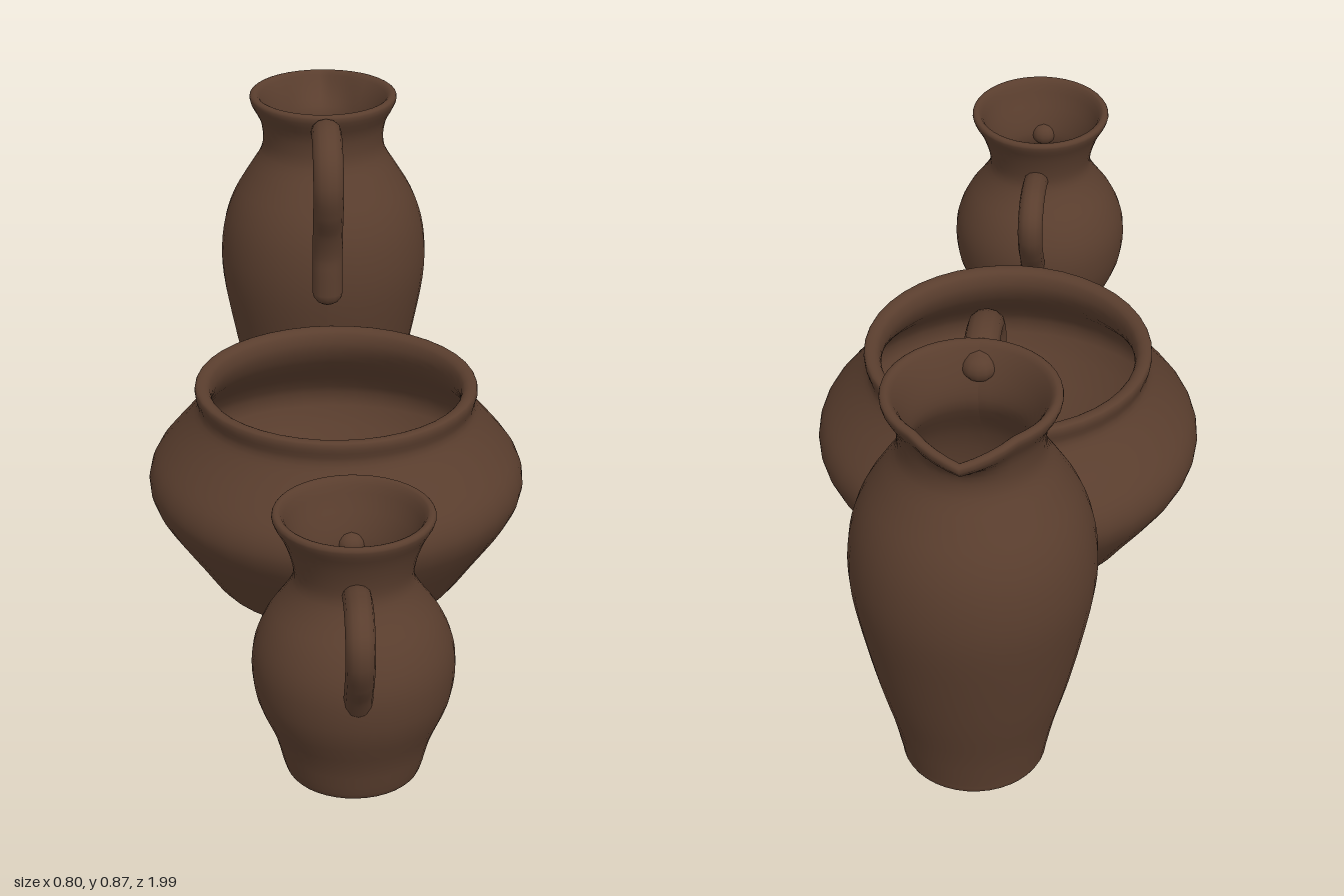
import * as THREE from 'three';

const clay = new THREE.MeshStandardMaterial({ color: 0x5a3e2e });
clay.name = 'brown clay';

// Smooth curve through [a, b] pairs
const curve = (pts, plane) => new THREE.CatmullRomCurve3(
  pts.map(([a, b]) => (plane === 'xy' ? new THREE.Vector3(a, b, 0) : new THREE.Vector3(0, b, a))),
  false, 'centripetal');

// Hollow vessel: profile runs from the underside, up the wall, over the lip and down inside
function vessel(name, profile) {
  const pts = curve(profile, 'xy').getPoints((profile.length - 1) * 3)
    .map((p) => new THREE.Vector2(Math.max(0, p.x), p.y));
  const mesh = new THREE.Mesh(new THREE.LatheGeometry(pts, 40), clay);
  mesh.name = name;
  return mesh;
}

// Strap handle along a path of [distance from axis, height], with rounded ends
function handle(name, path, radius, widen) {
  const group = new THREE.Group();
  group.name = name;
  const c = curve(path, 'zy');
  const strap = new THREE.Mesh(new THREE.TubeGeometry(c, 32, radius, 12), clay);
  strap.name = name + 'Strap';
  group.add(strap);
  for (const t of [0, 1]) {
    const end = new THREE.Mesh(new THREE.SphereGeometry(radius, 12, 8), clay);
    end.position.copy(c.getPoint(t));
    end.name = name + 'End';
    group.add(end);
  }
  group.scale.x = widen;
  return group;
}

function pot(name, z, ...parts) {
  const group = new THREE.Group();
  group.name = name;
  group.position.z = z;
  group.add(...parts);
  return group;
}

export function createModel() {
  const model = new THREE.Group();
  model.name = 'potterySet';

  // Wide bowl in the middle
  model.add(pot('bowl', -0.07, vessel('bowlBody', [
    [0, 0.013], [0.23, 0.013], [0.25, 0.017], [0.265, 0.03], [0.315, 0.1], [0.383, 0.2], [0.398, 0.24],
    [0.397, 0.27], [0.385, 0.3], [0.355, 0.34], [0.31, 0.395], [0.293, 0.425], [0.299, 0.455],
    [0.296, 0.469], [0.28, 0.47], [0.268, 0.46], [0.264, 0.43], [0.285, 0.385], [0.365, 0.29],
    [0.37, 0.24], [0.29, 0.11], [0.25, 0.055], [0.2, 0.045], [0, 0.045]])));

  // Small jar in front with a handle at front and back
  const jar = pot('jar', 0.708, vessel('jarBody', [
    [0, 0.013], [0.11, 0.013], [0.125, 0.017], [0.132, 0.03], [0.15, 0.095], [0.185, 0.18], [0.194, 0.25],
    [0.187, 0.3], [0.165, 0.35], [0.13, 0.4], [0.114, 0.435], [0.119, 0.475], [0.135, 0.52],
    [0.154, 0.558], [0.15, 0.567], [0.138, 0.565], [0.12, 0.525], [0.1, 0.475], [0.093, 0.435],
    [0.11, 0.395], [0.16, 0.32], [0.17, 0.25], [0.13, 0.095], [0.1, 0.045], [0, 0.04]]));
  for (const turn of [0, Math.PI]) {
    const h = handle(turn ? 'jarBackHandle' : 'jarFrontHandle', [
      [0.1, 0.445], [0.16, 0.46], [0.22, 0.458], [0.257, 0.43], [0.26, 0.39],
      [0.235, 0.34], [0.2, 0.295], [0.175, 0.255]], 0.025, 1.1);
    h.rotation.y = turn;
    jar.add(h);
  }
  model.add(jar);

  // Tall jug at the back
  const jugBody = vessel('jugBody', [
    [0, 0.003], [0.125, 0.003], [0.138, 0.007], [0.142, 0.025], [0.158, 0.1], [0.185, 0.2], [0.212, 0.32],
    [0.232, 0.43], [0.235, 0.5], [0.226, 0.57], [0.205, 0.63], [0.17, 0.69], [0.143, 0.735],
    [0.137, 0.765], [0.143, 0.81], [0.165, 0.853], [0.166, 0.868], [0.155, 0.872], [0.144, 0.862],
    [0.122, 0.81], [0.115, 0.765], [0.125, 0.73], [0.185, 0.63], [0.21, 0.5], [0.19, 0.32],
    [0.138, 0.09], [0.115, 0.045], [0, 0.04]]);
  // Pull the rim out into a pointed spout on the far side of the handle
  const p = jugBody.geometry.attributes.position;
  for (let i = 0; i < p.count; i++) {
    const x = p.getX(i), y = p.getY(i), z = p.getZ(i);
    const rise = THREE.MathUtils.smoothstep(y, 0.77, 0.86);
    const side = Math.max(0, 1 - Math.abs(Math.atan2(x, -z)) / 0.65);
    p.setZ(i, z - 0.042 * rise * side);
    p.setY(i, y - 0.015 * rise * side);
  }
  jugBody.geometry.computeVertexNormals();
  model.add(pot('jug', -0.765, jugBody, handle('jugHandle', [
    [0.135, 0.825], [0.19, 0.844], [0.25, 0.837], [0.298, 0.805], [0.316, 0.755], [0.302, 0.7],
    [0.27, 0.64], [0.252, 0.58], [0.251, 0.53], [0.25, 0.485]], 0.028, 1.2)));

  return model;
}
